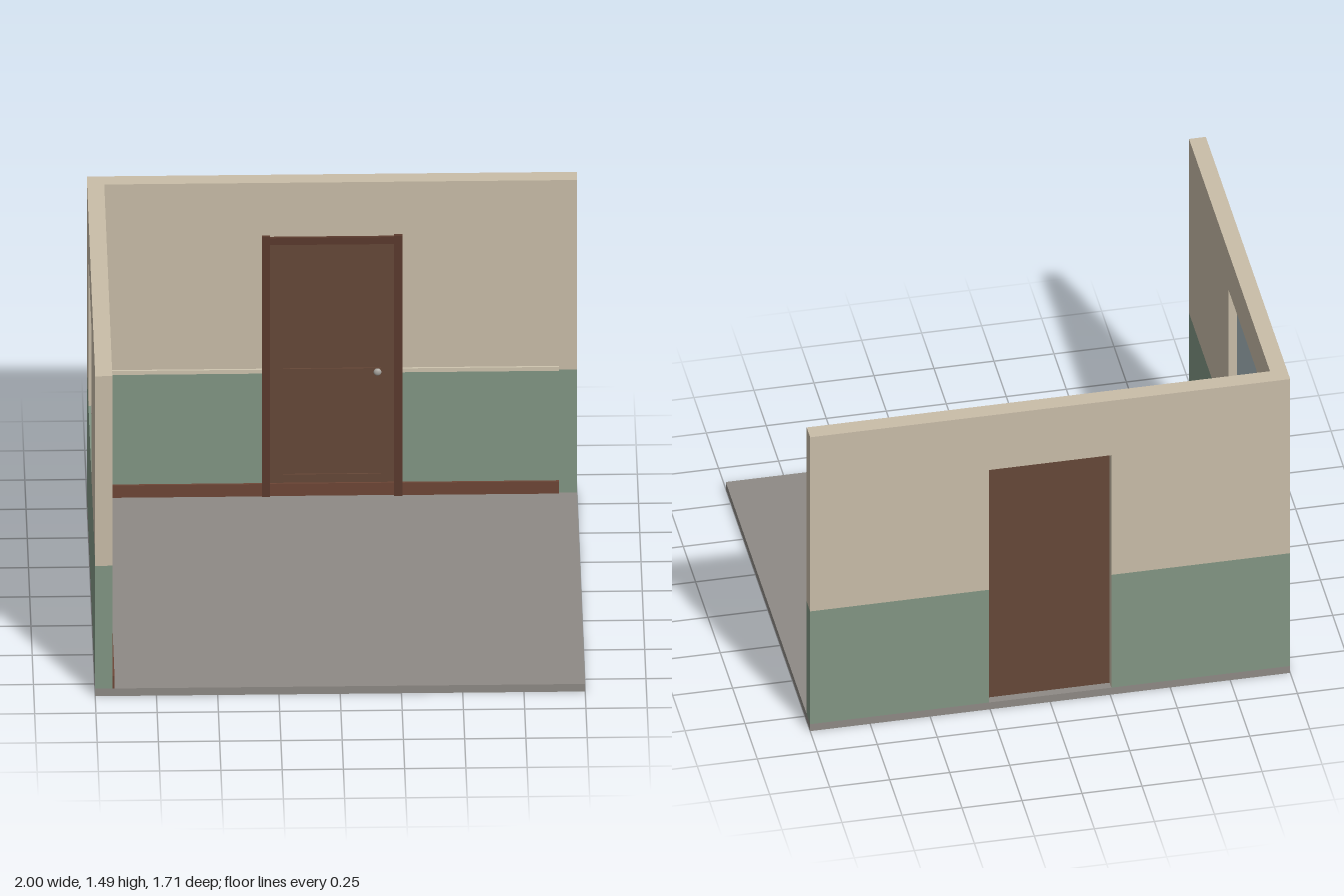
import * as THREE from 'three';

const mat = (name, color) => {
  const m = new THREE.MeshStandardMaterial({ color });
  m.name = name;
  return m;
};

export function createModel() {
  const room = new THREE.Group();
  room.name = 'roomCorner';

  const cream = mat('creamPaint', 0xc9bda8);
  const green = mat('greenPaint', 0x829684);
  const floorGrey = mat('floorGrey', 0x8e8a85);
  const doorBrown = mat('doorBrown', 0x664838);
  const frameBrown = mat('frameBrown', 0x5a3a2d);
  const skirtBrown = mat('skirtingBrown', 0x6e4636);
  const sillGrey = mat('sillGrey', 0x9a968f);
  const glassBlue = mat('glassBlue', 0xa8b9be);
  const railCream = mat('railCream', 0xcfc5af);
  const metal = mat('knobMetal', 0xa5a29c);

  const add = (name, geometry, material, parent = room) => {
    const mesh = new THREE.Mesh(geometry, material);
    mesh.name = name;
    parent.add(mesh);
    return mesh;
  };
  // Box given by its lower and upper limits on each axis
  const box = (name, material, [x0, x1], [y0, y1], [z0, z1], parent) => {
    const g = new THREE.BoxGeometry(x1 - x0, y1 - y0, z1 - z0);
    g.translate((x0 + x1) / 2, (y0 + y1) / 2, (z0 + z1) / 2);
    return add(name, g, material, parent);
  };
  const extrude = (points, depth) => new THREE.ExtrudeGeometry(
    new THREE.Shape(points.map(([x, y]) => new THREE.Vector2(x, y))),
    { depth, bevelEnabled: false });

  const FLOOR = 0.035, BAND = 0.605, TOP = 1.485;
  const BACK = -0.855, INNER_Z = -0.785, FRONT = 0.855, INNER_X = -0.93;
  const DOOR = 0.255, DOOR_TOP = 1.21;

  box('floor', floorGrey, [-1, 1], [0, FLOOR], [BACK, FRONT]);

  // Back wall: green band on both sides of the door, cream door reveals
  const faces = (i) => Array.from({ length: 6 }, (_, k) => (k === i ? cream : green));
  box('backWallLowerRight', faces(0), [-1, -DOOR], [FLOOR, BAND], [BACK, INNER_Z]);
  box('backWallLowerLeft', faces(1), [DOOR, 1], [FLOOR, BAND], [BACK, INNER_Z]);
  add('backWallUpper', extrude([
    [-1, BAND], [-DOOR, BAND], [-DOOR, DOOR_TOP], [DOOR, DOOR_TOP],
    [DOOR, BAND], [1, BAND], [1, TOP], [-1, TOP],
  ], INNER_Z - BACK), cream).position.z = BACK;

  // Side wall with a window notch above the green band; shape x runs along -z
  box('sideWallLower', green, [-1, INNER_X], [FLOOR, BAND], [INNER_Z, FRONT]);
  const WIN = [-0.515, 0.06], WIN_TOP = 1.295;
  const upper = add('sideWallUpper', extrude([
    [-FRONT, BAND], [-WIN[1], BAND], [-WIN[1], WIN_TOP], [-WIN[0], WIN_TOP],
    [-WIN[0], BAND], [-INNER_Z, BAND], [-INNER_Z, TOP], [-FRONT, TOP],
  ], INNER_X + 1), cream);
  upper.rotation.y = Math.PI / 2;
  upper.position.x = -1;

  // Window
  const window = new THREE.Group();
  window.name = 'window';
  room.add(window);
  box('windowGlass', glassBlue, [-0.978, -0.966], [BAND, WIN_TOP], WIN, window);
  box('windowSill', sillGrey, [-0.99, -0.917], [0.585, 0.608], [-0.535, 0.08], window);

  // Door leaf with raised stiles and rails around two sunk panels
  const door = new THREE.Group();
  door.name = 'door';
  room.add(door);
  box('doorLeaf', doorBrown, [-DOOR, DOOR], [FLOOR, DOOR_TOP], [-0.82, -0.792], door);
  const proud = [-0.793, -0.786];
  for (const s of [-1, 1]) {
    const x = [s * 0.2, s * DOOR].sort((a, b) => a - b);
    box('doorStile', doorBrown, x, [FLOOR, DOOR_TOP], proud, door);
  }
  for (const y of [[FLOOR, 0.13], [0.53, 0.62], [1.05, DOOR_TOP]])
    box('doorRail', doorBrown, [-0.2, 0.2], y, proud, door);

  // Door knob on a short stem
  const stem = add('knobStem', new THREE.CylinderGeometry(0.007, 0.007, 0.016, 16), metal, door);
  stem.rotation.x = Math.PI / 2;
  stem.position.set(0.185, 0.61, -0.78);
  const knob = add('doorKnob', new THREE.SphereGeometry(0.016, 20, 14), metal, door);
  knob.position.set(0.185, 0.61, -0.772);
  knob.scale.z = 0.6;

  // Door frame
  const frameZ = [-0.788, -0.77];
  box('frameHead', frameBrown, [-DOOR, DOOR], [1.203, 1.235], [-0.788, -0.772]);
  for (const s of [-1, 1]) {
    const x = [s * 0.253, s * 0.287].sort((a, b) => a - b);
    box('framePost', frameBrown, x, [FLOOR, 1.242], frameZ);
  }

  // Skirting boards and wall rail
  const runs = [[INNER_X, -0.285], [0.285, 0.925]];
  for (const x of runs) {
    box('backSkirting', skirtBrown, x, [FLOOR, 0.092], [INNER_Z, -0.776]);
    box('wallRail', railCream, x, [BAND, 0.623], [INNER_Z, -0.776]);
  }
  box('doorSkirting', skirtBrown, [-0.253, 0.253], [FLOOR, 0.092], [-0.788, -0.778]);
  box('sideSkirting', skirtBrown, [INNER_X, -0.921], [FLOOR, 0.092], [-0.776, FRONT]);

  return room;
}
